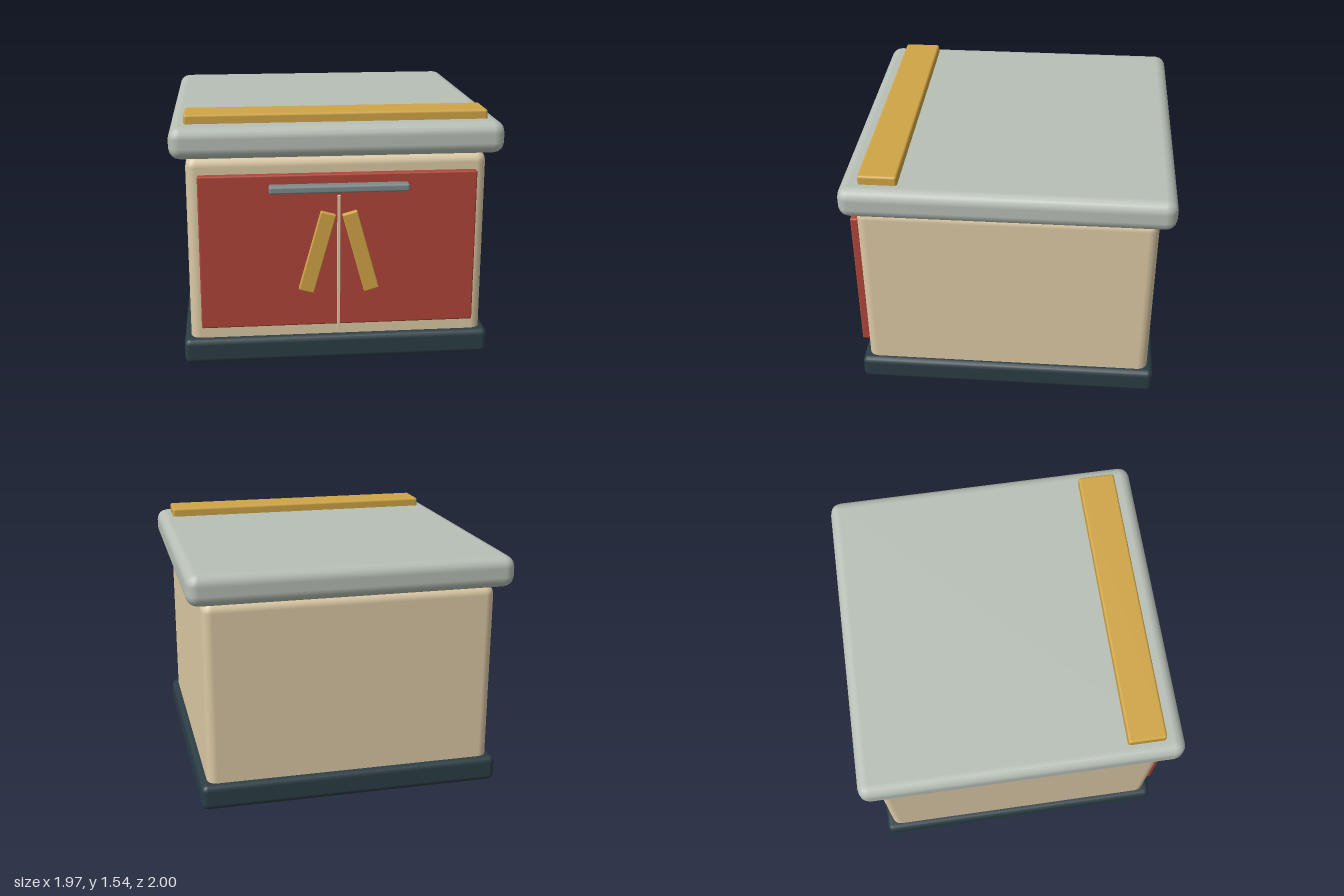
import * as THREE from 'three';
import { RoundedBoxGeometry } from 'three/addons/geometries/RoundedBoxGeometry.js';

const paint = (color) => new THREE.MeshStandardMaterial({ color });

export function createModel() {
  const group = new THREE.Group();
  const cream = paint(0xdcc9a5);
  const slate = paint(0x2b3d44);
  const stone = paint(0xb7bfb6);
  const red = paint(0xb04538);
  const gold = paint(0xd0a545);
  const steel = paint(0x7e8a8b);

  // Rounded box given by its extents: x, y and z ranges
  function block(name, material, [x0, x1], [y0, y1], [z0, z1], radius, segments = 2) {
    const geometry = new RoundedBoxGeometry(x1 - x0, y1 - y0, z1 - z0, segments, radius);
    const mesh = new THREE.Mesh(geometry, material);
    mesh.name = name;
    mesh.position.set((x0 + x1) / 2, (y0 + y1) / 2, (z0 + z1) / 2);
    group.add(mesh);
    return mesh;
  }

  // Cabinet: plinth, body and overhanging lid
  block('base', slate, [-0.937, 0.937], [0, 0.16], [-0.95, 0.925], 0.037);
  block('body', cream, [-0.896, 0.896], [0.005, 1.287], [-0.91, 0.887], 0.06);
  block('lid', stone, [-0.986, 0.986], [1.287, 1.482], [-1, 0.97], 0.07);
  block('lidStrip', gold, [-0.896, 0.896], [1.465, 1.537], [0.62, 0.852], 0.015);

  // Front panel with its handle and centre seam
  block('frontPanel', red, [-0.828, 0.828], [0.24, 1.187], [0.885, 0.937], 0.01);
  block('handle', steel, [-0.413, 0.413], [1.087, 1.132], [0.925, 1], 0.012);
  block('centreSeam', cream, [-0.009, 0.009], [0.213, 1.06], [0.925, 0.957], 0.003);

  // Pair of slanted bars, spreading towards the bottom
  for (const side of [-1, 1]) {
    const x = side * 0.13;
    const bar = block(side > 0 ? 'leftBar' : 'rightBar', gold,
      [x - 0.046, x + 0.046], [0.462, 0.964], [0.93, 0.973], 0.006);
    bar.rotation.z = side * 0.27;
  }

  return group;
}
